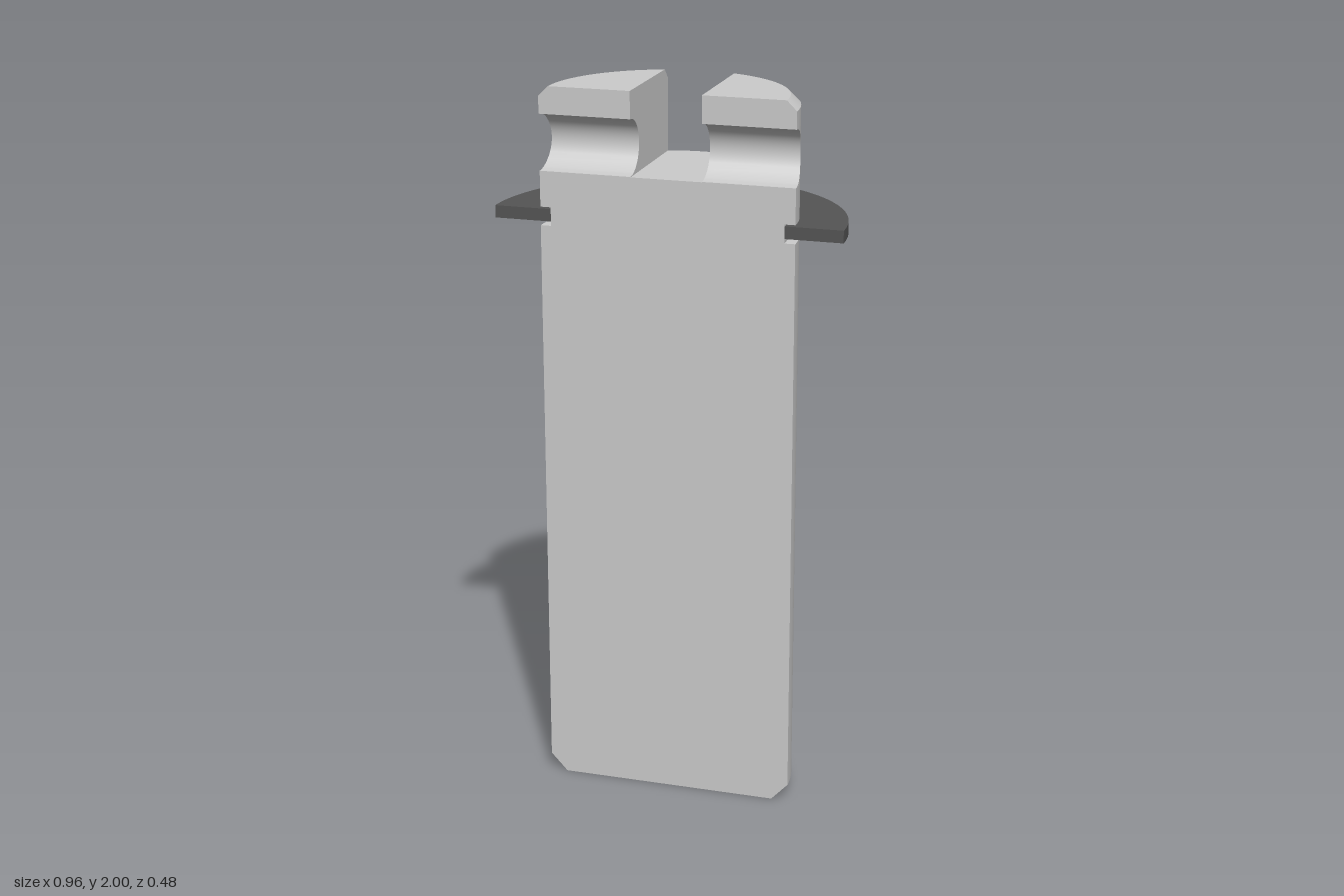
import * as THREE from 'three';
import { toCreasedNormals } from 'three/addons/utils/BufferGeometryUtils.js';

const FRONT = 0.239;              // z of the flat cut face; the pin axis lies in it
const R = 0.352, SLOT = 0.098;    // pin radius, half width of the top slot
const FLOOR = 1.77, TOP = 2;      // slot floor and top of the prongs
const HOLE_Y = 1.848, HOLE_R = 0.077;

// Half-round shank with a bottom chamfer and a retaining groove
function shank(material) {
  const group = new THREE.Group();
  group.name = 'shank';
  const profile = [
    [0, 0], [R - 0.047, 0], [R, 0.05], [R, 1.622], [0.323, 1.622],
    [0.323, 1.673], [R, 1.673], [R, FLOOR], [0, FLOOR],
  ].map(([x, y]) => new THREE.Vector2(x, y));

  const round = new THREE.Mesh(
    toCreasedNormals(new THREE.LatheGeometry(profile, 64, Math.PI / 2, Math.PI), 0.5), material);
  round.name = 'shankRound';

  const mirrored = profile.slice(1, -1).reverse().map((p) => new THREE.Vector2(-p.x, p.y));
  const face = new THREE.Mesh(
    new THREE.ShapeGeometry(new THREE.Shape([...profile.slice(1, -1), ...mirrored])), material);
  face.name = 'shankCutFace';
  group.add(round, face);
  group.position.z = FRONT;
  return group;
}

// One prong beside the slot, lofted upwards; the front edge is hollowed by the cross hole
function prong(side, material) {
  const rows = [[FLOOR, R, 0]];   // y, radius, hollow depth
  for (let i = 0; i <= 24; i++) {
    const a = (i / 24) * Math.PI;
    rows.push([HOLE_Y - HOLE_R * Math.cos(a), R, HOLE_R * Math.sin(a)]);
  }
  rows.push([TOP - 0.027, R, 0], [TOP, R - 0.027, 0]);

  const arcSteps = 28;
  const loops = rows.map(([y, r, hollow]) => {
    const a0 = Math.asin(hollow / r), a1 = Math.acos(SLOT / r);
    const loop = [[side * SLOT, y, -hollow]];
    for (let i = 0; i <= arcSteps; i++) {
      const a = a0 + (a1 - a0) * (i / arcSteps);
      loop.push([side * r * Math.cos(a), y, -r * Math.sin(a)]);
    }
    return side > 0 ? loop : loop.reverse();
  });

  const n = loops[0].length, positions = [];
  const tri = (a, b, c) => positions.push(...a, ...b, ...c);
  for (let i = 0; i < loops.length - 1; i++) {
    for (let j = 0; j < n; j++) {
      const k = (j + 1) % n, low = loops[i], high = loops[i + 1];
      tri(low[j], low[k], high[k]);
      tri(low[j], high[k], high[j]);
    }
  }
  const cap = loops[loops.length - 1];
  for (let j = 1; j < n - 1; j++) tri(cap[0], cap[j], cap[j + 1]);

  const geometry = new THREE.BufferGeometry();
  geometry.setAttribute('position', new THREE.Float32BufferAttribute(positions, 3));
  const mesh = new THREE.Mesh(toCreasedNormals(geometry, 0.5), material);
  mesh.name = side > 0 ? 'leftProng' : 'rightProng';
  mesh.position.z = FRONT;
  return mesh;
}

// Half ring seated in the groove, with a square notch at the back
function retainingRing(material) {
  const outer = 0.481, inner = 0.323, notch = 0.048, notchDepth = 0.4;
  const a = Math.acos(notch / outer);
  const shape = new THREE.Shape();
  shape.moveTo(inner, 0);
  shape.lineTo(outer, 0);
  shape.absarc(0, 0, outer, 0, a, false);
  shape.lineTo(notch, notchDepth);
  shape.lineTo(-notch, notchDepth);
  shape.absarc(0, 0, outer, Math.PI - a, Math.PI, false);
  shape.lineTo(-inner, 0);
  shape.absarc(0, 0, inner, Math.PI, 0, true);

  const geometry = new THREE.ExtrudeGeometry(shape, { depth: 0.034, bevelEnabled: false, curveSegments: 40 });
  geometry.rotateX(-Math.PI / 2);
  const mesh = new THREE.Mesh(toCreasedNormals(geometry, 0.5), material);
  mesh.name = 'retainingRing';
  mesh.position.set(0, 1.634, FRONT);
  return mesh;
}

export function createModel() {
  const grey = new THREE.MeshStandardMaterial({ color: 0xcccccc });
  const dark = new THREE.MeshStandardMaterial({ color: 0x555555 });
  const model = new THREE.Group();
  model.name = 'slottedHalfPin';
  model.add(shank(grey), prong(1, grey), prong(-1, grey), retainingRing(dark));
  return model;
}
